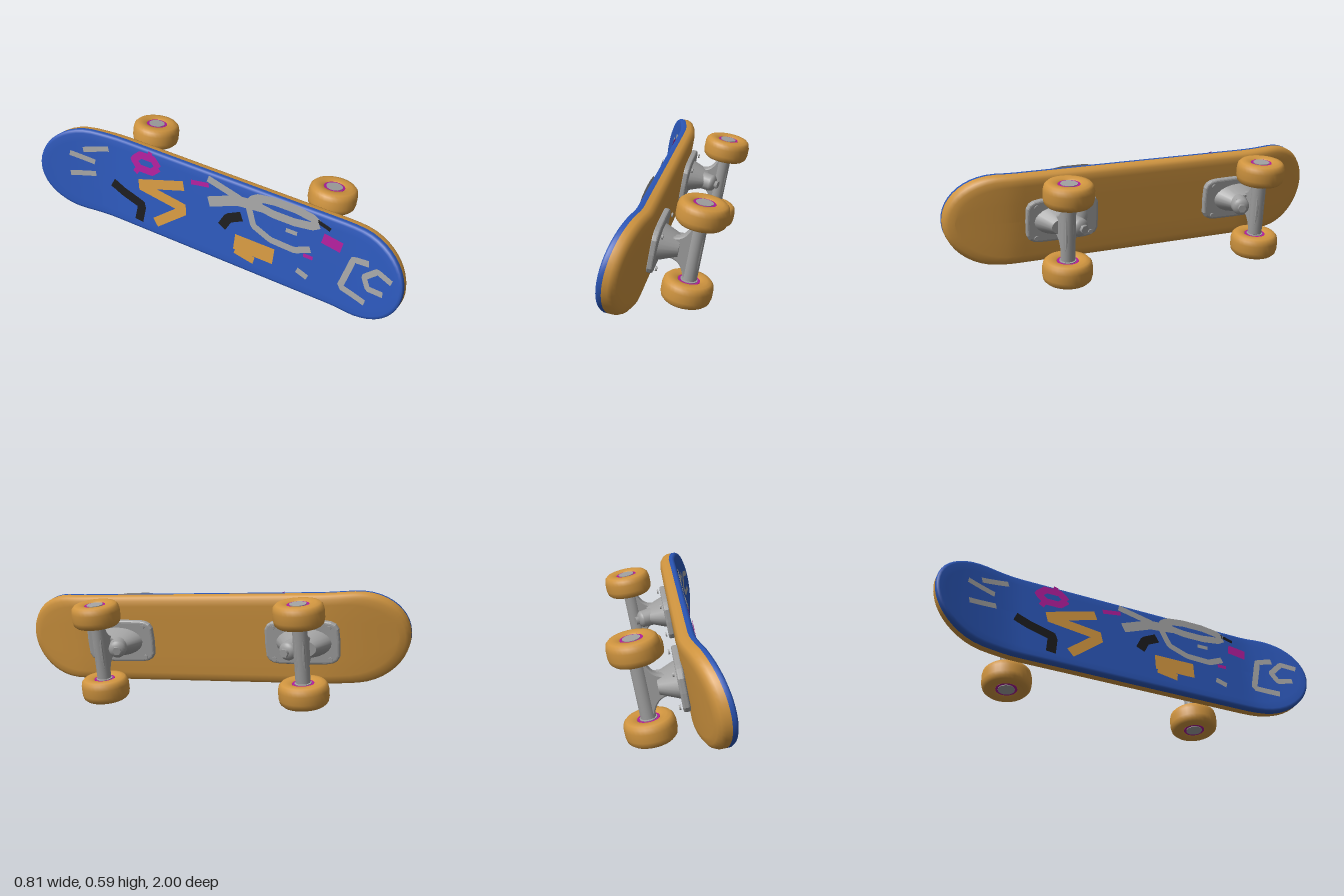
import * as THREE from 'three';

const mat = (name, color) => {
  const m = new THREE.MeshStandardMaterial({ color });
  m.name = name;
  return m;
};

// How far the deck bends up at its ends, as a function of length position
function kick(z) {
  if (z < -0.6) return -0.1 * Math.pow((-z - 0.6) / 0.43, 1.5);
  if (z > 0.68) return -0.07 * Math.pow((z - 0.68) / 0.33, 1.3);
  return 0;
}

// One deck layer: inset outlines [inset, height], closed on the centre line
function deckLayer(profile, flip) {
  const N = 96, pos = [], idx = [];
  const last = profile[profile.length - 1];
  const rings = [...profile.map(p => [...p, 1]), [...last, 0.5], [...last, 0]];
  for (const [inset, n, squeeze] of rings) {
    const half = 1.02 - inset;
    for (let i = 0; i < N; i++) {
      const a = (i / N) * Math.PI * 2;
      const z = -Math.cos(a) * half;
      const d = Math.min(1, (half - Math.abs(z)) / 0.26);
      const w = (0.23 - inset) * Math.sqrt(Math.max(0, 1 - (1 - d) ** 2));
      pos.push(n + kick(z - 0.008), Math.sign(Math.sin(a)) * w * squeeze, z - 0.008);
    }
  }
  for (let j = 0; j < rings.length - 1; j++) {
    for (let i = 0; i < N; i++) {
      const a = j * N + i, b = j * N + (i + 1) % N, c = a + N, d = b + N;
      if (flip) idx.push(a, d, b, a, c, d);
      else idx.push(a, b, d, a, d, c);
    }
  }
  const g = new THREE.BufferGeometry();
  g.setAttribute('position', new THREE.Float32BufferAttribute(pos, 3));
  g.setIndex(idx);
  g.computeVertexNormals();
  return g;
}

// Painted stroke hugging the grip side; points are [length, width]
function stroke(points, width, closed = false) {
  const curve = new THREE.CurvePath();
  const pts = points.map(([l, w]) => new THREE.Vector3(0, w, l));
  if (closed) pts.push(pts[0].clone());
  for (let i = 0; i < pts.length - 1; i++) curve.add(new THREE.LineCurve3(pts[i], pts[i + 1]));
  const steps = (pts.length - 1) * 8, pos = [], idx = [];
  for (let i = 0; i <= steps; i++) {
    const u = i / steps, p = curve.getPoint(u);
    const t = curve.getPoint(Math.min(1, u + 0.03)).sub(curve.getPoint(Math.max(0, u - 0.03))).normalize();
    for (const s of [-0.5, 0.5]) {
      const y = p.y - t.z * s * width, z = p.z + t.y * s * width;
      pos.push(kick(z) - 0.005, y, z);
    }
    // wound to face away from the trucks
    if (i < steps) idx.push(2 * i, 2 * i + 3, 2 * i + 1, 2 * i, 2 * i + 2, 2 * i + 3);
  }
  const g = new THREE.BufferGeometry();
  g.setAttribute('position', new THREE.Float32BufferAttribute(pos, 3));
  g.setIndex(idx);
  g.computeVertexNormals();
  return g;
}

const ellipse = (l, w, rl, rw, n = 10) => Array.from({ length: n }, (_, i) => {
  const a = (i / n) * Math.PI * 2;
  return [l + rl * Math.cos(a), w + rw * Math.sin(a)];
});

export function createModel() {
  const blue = mat('gripBlue', 0x2a55b5);
  const orange = mat('woodOrange', 0xcf943f);
  const grey = mat('metalGrey', 0xa0a0a0);
  const black = mat('paintBlack', 0x1a1a1c);
  const magenta = mat('paintMagenta', 0xac1c98);
  for (const m of [grey, black, magenta, orange]) m.side = THREE.DoubleSide;

  const board = new THREE.Group();
  board.name = 'skateboard';
  const add = (parent, name, geo, material, x = 0, y = 0, z = 0) => {
    const m = new THREE.Mesh(geo, material);
    m.name = name;
    m.position.set(x, y, z);
    parent.add(m);
    return m;
  };

  // Deck: blue grip layer over orange wood
  add(board, 'gripLayer', deckLayer([[0, 0.03], [0, 0.014], [0.005, 0.004], [0.016, 0], [0.05, 0]], true), blue);
  add(board, 'woodLayer', deckLayer([[0, 0.03], [0, 0.055], [0.007, 0.072], [0.022, 0.083], [0.05, 0.086]], false), orange);

  // Painted details
  const paint = (name, material, width, pts, closed) => add(board, name, stroke(pts, width, closed), material);
  paint('zigzag', orange, 0.052, [[-0.2, 0.11], [-0.47, 0.025], [-0.17, -0.015], [-0.34, -0.155]]);
  paint('orangePatch', orange, 0.085, [[0.12, -0.085], [0.34, -0.085]]);
  paint('orangePatchTail', orange, 0.04, [[0.13, -0.13], [0.24, -0.15]]);
  paint('blackHook', black, 0.05, [[-0.62, -0.02], [-0.55, -0.05], [-0.43, -0.085], [-0.44, -0.18]]);
  paint('blackMark', black, 0.05, [[0.14, 0.065], [0.07, 0.03], [0.04, -0.03]]);
  paint('blackFleck', black, 0.02, [[0.53, 0.19], [0.6, 0.17]]);
  paint('magentaStar', magenta, 0.04, ellipse(-0.43, 0.155, 0.075, 0.042, 6), true);
  paint('magentaTick', magenta, 0.025, [[-0.41, 0.225], [-0.42, 0.19]]);
  paint('magentaTail', magenta, 0.03, [[-0.47, 0.12], [-0.49, 0.085]]);
  paint('magentaDash', magenta, 0.025, [[-0.16, 0.148], [-0.06, 0.165]]);
  paint('magentaHeart', magenta, 0.055, [[0.57, 0.115], [0.67, 0.1]]);
  paint('magentaFleck', magenta, 0.02, [[0.49, -0.012], [0.54, -0.012]]);
  paint('greyLoop', grey, 0.042, ellipse(0.36, 0.175, 0.18, 0.036), true);
  paint('greySlash', grey, 0.055, [[0.24, 0.155], [0.1, 0.14], [-0.05, 0.078]]);
  paint('greyTick', grey, 0.036, [[-0.07, 0.2], [0.12, 0.155]]);
  paint('greyCurve', grey, 0.034, [[0.17, 0.13], [0.21, 0.04], [0.31, 0.0], [0.44, -0.005], [0.52, 0.03]]);
  paint('greyDot', grey, 0.022, [[0.38, 0.085], [0.44, 0.085]]);
  paint('greyNoseLine', grey, 0.032, [[0.82, 0.085], [0.74, 0.07], [0.7, -0.1], [0.84, -0.12]]);
  paint('greyNoseCurl', grey, 0.03, [[0.95, 0.05], [0.87, 0.07], [0.81, 0.01], [0.84, -0.04], [0.92, -0.03]]);
  paint('greyFleck', grey, 0.03, [[0.47, -0.105], [0.53, -0.125]]);
  [[-0.73, 0.14, 0.02], [-0.8, 0.075, -0.01], [-0.79, -0.015, 0.015]].forEach(([l, w, d]) =>
    paint('greyRay', grey, 0.029, [[l - 0.07, w - d], [l + 0.07, w + d]]));

  // Shared truck geometry; x points away from the deck
  const plateShape = new THREE.Shape();
  plateShape.absellipse(0, 0, 1, 1, 0, Math.PI * 2);
  const corners = plateShape.getPoints(10).map(p => {
    const sq = v => Math.sign(v) * Math.pow(Math.abs(v), 0.35);
    return new THREE.Vector2(sq(p.x) * 0.175, sq(p.y) * 0.1);
  });
  const plateGeo = new THREE.ExtrudeGeometry(new THREE.Shape(corners), {
    depth: 0.015, bevelEnabled: true, bevelSize: 0.012, bevelThickness: 0.01, bevelSegments: 3 });
  plateGeo.rotateY(Math.PI / 2);
  const webShape = new THREE.Shape();
  webShape.moveTo(0.17, -0.045);
  webShape.quadraticCurveTo(0.235, -0.05, 0.255, -0.14);
  webShape.lineTo(0.295, -0.14);
  webShape.quadraticCurveTo(0.31, 0, 0.295, 0.14);
  webShape.lineTo(0.255, 0.14);
  webShape.quadraticCurveTo(0.235, 0.05, 0.17, 0.045);
  const webGeo = new THREE.ExtrudeGeometry(webShape, {
    depth: 0.03, bevelEnabled: true, bevelSize: 0.008, bevelThickness: 0.01, bevelSegments: 2 });
  webGeo.translate(0, 0, -0.015);
  const wheelGeo = new THREE.LatheGeometry([[0.05, -0.045], [0.06, -0.054], [0.085, -0.058], [0.105, -0.054],
    [0.117, -0.042], [0.122, -0.02], [0.122, 0.02], [0.117, 0.042], [0.105, 0.054], [0.085, 0.058],
    [0.06, 0.054], [0.05, 0.045]].map(p => new THREE.Vector2(...p)), 32);

  function truck(name, z, turn) {
    const t = new THREE.Group();
    t.name = name;
    t.position.z = z;
    t.rotation.x = turn;
    board.add(t);
    add(t, 'basePlate', plateGeo, grey, 0.09, 0, 0.035);
    for (const y of [-0.08, 0.08]) for (const dz of [-0.14, 0.14])
      add(t, 'bolt', new THREE.CylinderGeometry(0.012, 0.012, 0.008, 8).rotateZ(Math.PI / 2), grey, 0.127, y, 0.035 + dz);
    // Pedestal tapering up to the hanger
    const pedestal = add(t, 'pedestal', new THREE.CylinderGeometry(0.045, 0.08, 0.1, 24).rotateZ(-Math.PI / 2), grey, 0.155, 0, 0.025);
    pedestal.scale.z = 1.8;
    // Kingpin with bushing and nut, leaning to the deck centre
    const pin = new THREE.Group();
    pin.name = 'kingpin';
    pin.position.set(0.19, 0, 0.06);
    pin.rotation.y = -0.3;
    t.add(pin);
    add(pin, 'bushing', new THREE.CylinderGeometry(0.045, 0.05, 0.1, 20).rotateZ(-Math.PI / 2), grey);
    const cap = add(pin, 'bushingCap', new THREE.SphereGeometry(0.045, 20, 12), grey, 0.05);
    cap.scale.x = 0.6;
    add(pin, 'nut', new THREE.CylinderGeometry(0.022, 0.022, 0.03, 6).rotateZ(Math.PI / 2), grey, 0.075);
    // Hanger, axle and wheels
    add(t, 'hangerWeb', webGeo, grey);
    add(t, 'hangerTube', new THREE.CylinderGeometry(0.036, 0.036, 0.28, 20), grey, 0.277);
    add(t, 'axle', new THREE.CylinderGeometry(0.02, 0.02, 0.49, 12), grey, 0.277);
    for (const s of [-1, 1]) {
      add(t, 'wheel', wheelGeo, orange, 0.277, s * 0.195, 0);
      add(t, 'wheelRing', new THREE.CylinderGeometry(0.053, 0.053, 0.098, 24), magenta, 0.277, s * 0.195, 0);
      add(t, 'hub', new THREE.CylinderGeometry(0.041, 0.041, 0.104, 24), grey, 0.277, s * 0.195, 0);
    }
  }
  truck('rearTruck', -0.557, 0);
  truck('frontTruck', 0.483, Math.PI);

  // Stand the board on its edge, leaning slightly
  const W = new THREE.Vector3(0.19, 0.982, 0).normalize();
  const L = new THREE.Vector3(0.19, -0.037, 0.981).normalize();
  const out = new THREE.Vector3().crossVectors(W, L).normalize();
  L.crossVectors(out, W);
  board.quaternion.setFromRotationMatrix(new THREE.Matrix4().makeBasis(out, W, L));
  board.position.set(-0.115, 0.33, 0);

  const model = new THREE.Group();
  model.name = 'model';
  model.add(board);
  return model;
}
